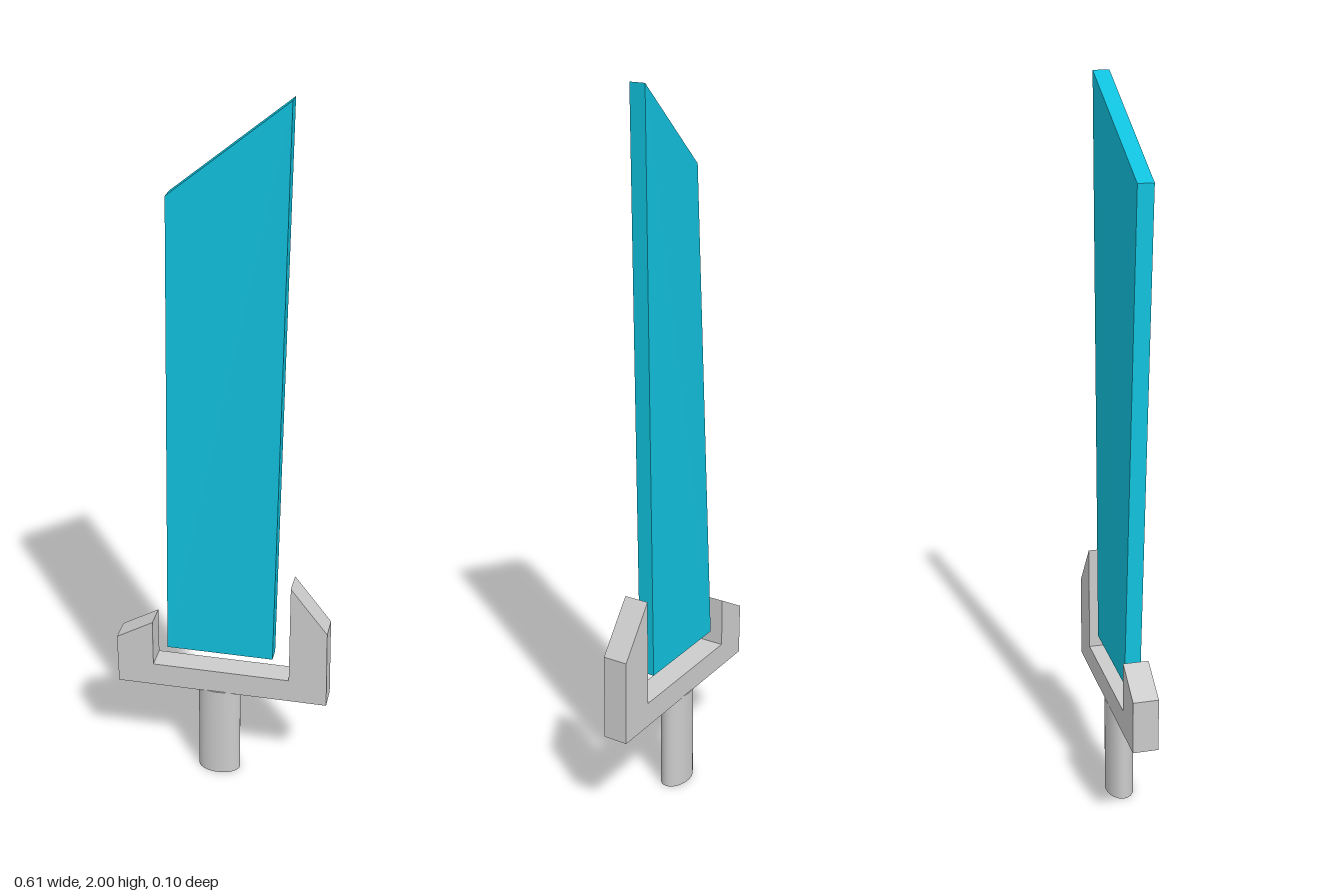
import * as THREE from 'three';

const GREY = new THREE.MeshStandardMaterial({ color: 0xcccccc });
const BLUE = new THREE.MeshStandardMaterial({ color: 0x10c0dc, flatShading: true });

function addPart(group, name, geometry, material) {
  const mesh = new THREE.Mesh(geometry, material);
  mesh.name = name;
  group.add(mesh);
  return mesh;
}

// Slab between a front outline (counter-clockwise) and a copy set back by depth
function slabGeometry(front, depth) {
  const n = front.length;
  const positions = [...front, ...front.map(([x, y, z]) => [x, y, z - depth])].flat();
  const index = [];
  for (let i = 0; i < n; i++) {
    const j = (i + 1) % n;
    index.push(i, i + n, j + n, i, j + n, j);
    if (i > 0 && i < n - 1) index.push(0, i, i + 1, n, n + i + 1, n + i);
  }
  const geometry = new THREE.BufferGeometry();
  geometry.setAttribute('position', new THREE.Float32BufferAttribute(positions, 3));
  geometry.setIndex(index);
  const flat = geometry.toNonIndexed();
  flat.computeVertexNormals();
  return flat;
}

export function createModel() {
  const sword = new THREE.Group();
  sword.name = 'sword';

  // Slanted blade, its short upper corner twisted forward
  const blade = [
    [-0.16, 0.412, 0.01],
    [0.145, 0.412, 0.01],
    [0.17, 2, 0.01],
    [-0.135, 1.76, 0.048],
  ];
  addPart(sword, 'blade', slabGeometry(blade, 0.044), BLUE);

  // Uneven cradle-shaped guard
  const outline = [
    [-0.304, 0.285], [0.304, 0.285], [0.3, 0.525], [0.195, 0.66],
    [0.195, 0.355], [-0.2, 0.355], [-0.2, 0.497], [-0.306, 0.435],
  ];
  const guardShape = new THREE.Shape(outline.map(([x, y]) => new THREE.Vector2(x, y)));
  const guard = new THREE.ExtrudeGeometry(guardShape, { depth: 0.07, bevelEnabled: false });
  addPart(sword, 'guard', guard, GREY).position.z = -0.048;

  // Oval grip
  const grip = new THREE.CylinderGeometry(1, 1, 0.287, 32);
  grip.scale(0.061, 1, 0.039);
  addPart(sword, 'grip', grip, GREY).position.set(-0.012, 0.1435, -0.012);

  return sword;
}
